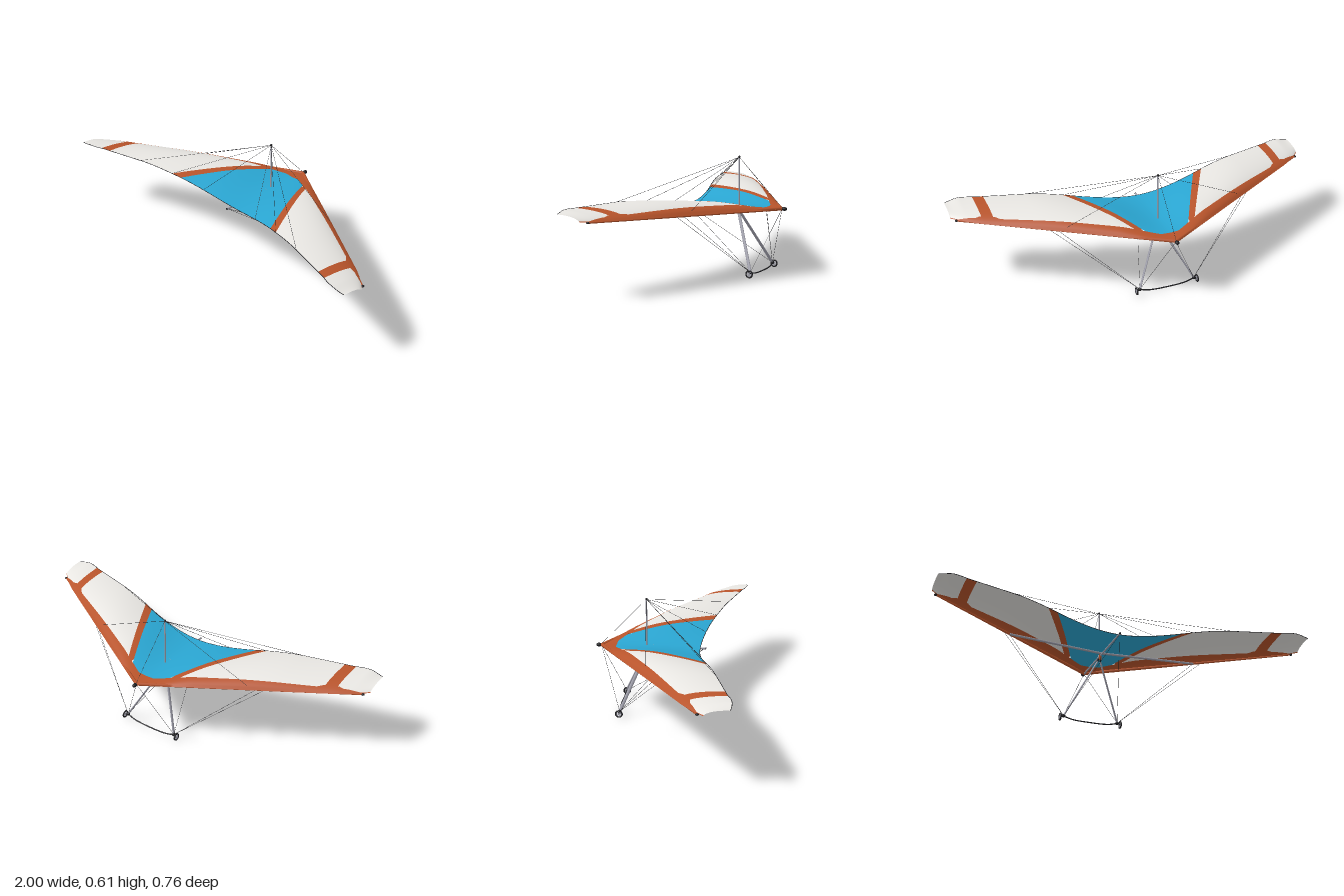
import * as THREE from 'three';

const paint = (name, color, double) => {
  const m = new THREE.MeshStandardMaterial({ color });
  m.name = name;
  if (double) m.side = THREE.DoubleSide;
  return m;
};
const V = (x, y, z) => new THREE.Vector3(x, y, z);
const smooth = THREE.MathUtils.smoothstep;

// Planform and height of the sail, symmetric in x
const lead = x => -0.36 + 0.586 * x + (x > 0.85 ? 0.028 * ((x - 0.85) / 0.15) ** 2 : 0);
const trail = x => {
  if (x < 0.4) return 0.17 + 0.39 * x * x;
  const d = Math.max(0, x - 0.85);
  return 0.232 + 0.273 * (x - 0.4) + 0.22 * d - 2.47 * d * d;
};
// Rear edge of the leading-edge band, with small fillets beside the tip stripe
const band = x => Math.max(-0.27, lead(x) + Math.max(0.002, 0.064 - 0.043 * x
  + 0.014 * smooth(x, 0.765, 0.8) - 0.014 * smooth(x, 0.855, 0.89) - 0.026 * smooth(x, 0.88, 1)));
const innerSeam = x => -0.19 + (x - 0.14) * 1.98;
const outerSeam = x => -0.18 + (x - 0.18) * 1.88;
const leadY = x => 0.34 + 0.03 * x;
const trailY = x => 0.345 + 0.069 * smooth(x, 0, 0.6) - 0.013 * smooth(x, 0.92, 1);

function height(px, z) {
  const x = Math.min(1, Math.abs(px));
  const t = THREE.MathUtils.clamp((z - lead(x)) / (trail(x) - lead(x)), 0, 1);
  const camber = 0.008 + 0.03 * smooth(x, 0, 0.25) - 0.026 * smooth(x, 0.4, 1);
  return leadY(x) + (trailY(x) - leadY(x)) * t + camber * 2.6 * Math.sqrt(t) * (1 - t);
}

// Sail panel between two seams over a span of x
function panel(x0, x1, zA, zB, cols, rows, curved) {
  const pos = [], nor = [], idx = [], e = 0.004;
  for (let i = 0; i <= cols; i++) {
    const x = x0 + (x1 - x0) * i / cols, a = Math.abs(x);
    const from = zA(a), to = Math.max(from, zB(a));
    for (let j = 0; j <= rows; j++) {
      const v = curved ? (j / rows) ** 2 : j / rows;
      const z = from + (to - from) * v;
      pos.push(x, height(x, z), z);
      const zn = THREE.MathUtils.clamp(z, lead(a) + 2 * e, trail(a) - e);
      const n = V(-(height(x + e, zn) - height(x - e, zn)) / (2 * e), 1,
        -(height(x, zn + e) - height(x, zn - e)) / (2 * e)).normalize();
      nor.push(n.x, n.y, n.z);
      if (i < cols && j < rows) {
        const p = i * (rows + 1) + j, q = p + rows + 1;
        idx.push(p, p + 1, q, q, p + 1, q + 1);
      }
    }
  }
  const g = new THREE.BufferGeometry();
  g.setAttribute('position', new THREE.Float32BufferAttribute(pos, 3));
  g.setAttribute('normal', new THREE.Float32BufferAttribute(nor, 3));
  g.setIndex(idx);
  return g;
}

export function createModel() {
  const root = new THREE.Group();
  root.name = 'hangGlider';
  const white = paint('white sailcloth', 0xeceae6, true);
  const rust = paint('rust sailcloth', 0xb8542b, true);
  const blue = paint('blue sailcloth', 0x2aa6d2, true);
  const metal = paint('grey metal', 0x9a9aa6);
  const black = paint('black', 0x1d1d20);

  const add = (name, geo, mat, parent = root) => {
    const m = new THREE.Mesh(geo, mat);
    m.name = name;
    parent.add(m);
    return m;
  };
  // Round bar between two points
  const bar = (name, a, b, r, mat, r2 = r, sides = 10) => {
    const d = b.clone().sub(a);
    const m = add(name, new THREE.CylinderGeometry(r2, r, d.length(), sides), mat);
    m.position.copy(a).add(b).multiplyScalar(0.5);
    m.quaternion.setFromUnitVectors(V(0, 1, 0), d.normalize());
    return m;
  };
  const cable = (name, a, b) => bar(name, a, b, 0.0008, black, 0.0008, 5);
  const onSail = (x, z) => V(x, height(x, z), z);

  // Sail panels, left and right
  for (const s of [1, -1]) {
    const side = s > 0 ? 'left' : 'right';
    const cloth = (name, a, b, zA, zB, cols, rows, mat, curved) =>
      add(side + name, s > 0 ? panel(a, b, zA, zB, cols, rows, curved)
        : panel(-b, -a, zA, zB, cols, rows, curved), mat);
    cloth('LeadingEdgeBand', 0, 1, lead, band, 200, 8, rust, true);
    cloth('CentrePanel', 0, 0.345, x => Math.max(band(x), innerSeam(x)), trail, 69, 20, blue);
    cloth('DiagonalStripe', 0.13, 0.4, x => Math.max(band(x), outerSeam(x)),
      x => Math.min(innerSeam(x), trail(x)), 54, 6, rust);
    cloth('WingPanel', 0.17, 0.8, band, x => Math.min(outerSeam(x), trail(x)), 126, 16, white);
    cloth('TipStripe', 0.8, 0.855, band, trail, 11, 16, rust);
    cloth('TipPanel', 0.855, 1, band, trail, 29, 16, white);

    // Leading-edge spar in its pocket, with end cap
    const nose = V(0, 0.342, -0.35), end = V(s * 0.975, 0.367, 0.224);
    bar(side + 'LeadingEdgePocket', nose, end, 0.009, rust, 0.004);
    const cap = add(side + 'SparCap', new THREE.SphereGeometry(0.0055, 12, 8), black);
    cap.position.copy(end);
    cap.scale.set(1.4, 1, 1.6);

    // Cross bar
    const joint = V(s * 0.52, 0.354, lead(0.52) + 0.012);
    bar(side + 'CrossBar', V(0, 0.344, -0.075), joint, 0.006, metal);

    // Control frame upright, streamlined section
    const foot = V(s * 0.152, 0.028, -0.24), head = V(s * 0.008, 0.312, -0.114);
    const upright = bar(side + 'Upright', foot, head, 0.004, metal);
    upright.geometry.scale(1, 1, 2.1);
    bar(side + 'UprightFitting', head, V(s * 0.004, 0.328, -0.109), 0.0045, black);
    const corner = add(side + 'CornerFitting', new THREE.SphereGeometry(0.01, 12, 8), black);
    corner.position.copy(foot);

    // Wheel
    const wheel = new THREE.Group();
    wheel.name = side + 'Wheel';
    wheel.position.set(s * 0.17, 0.021, -0.242);
    wheel.rotation.y = Math.PI / 2;
    root.add(wheel);
    add('tyre', new THREE.TorusGeometry(0.017, 0.004, 8, 28), black, wheel);
    add('rim', new THREE.TorusGeometry(0.0125, 0.0014, 6, 24), metal, wheel);
    const hub = add('hub', new THREE.CylinderGeometry(0.0035, 0.0035, 0.008, 12), metal, wheel);
    hub.rotation.x = Math.PI / 2;
    for (let i = 0; i < 3; i++) {
      const spoke = add('spoke', new THREE.BoxGeometry(0.026, 0.0025, 0.004), metal, wheel);
      spoke.rotation.z = i * Math.PI / 3;
    }
    bar(side + 'Axle', foot, V(s * 0.17, 0.021, -0.242), 0.003, black);

    // Rigging
    const mast = V(0, 0.598, -0.113);
    cable(side + 'UpperSideCable', mast, onSail(s * 0.48, lead(0.48) + 0.012));
    for (const x of [0.2, 0.4, 0.6]) cable(side + 'LuffLine', mast, onSail(s * x, trail(x)));
    cable(side + 'LowerSideCable', foot, joint);
    cable(side + 'LowerOuterCable', foot, V(s * 0.56, 0.357, lead(0.56) + 0.01));
    cable(side + 'LowerFrontCable', foot, V(0, 0.34, -0.352));
    cable(side + 'LowerRearCable', foot, V(0, 0.337, 0.19));
  }

  // Trailing-edge hem
  const hem = [];
  for (let i = -40; i <= 40; i++) {
    const x = i / 40 * 0.998;
    hem.push(onSail(x, trail(Math.abs(x))));
  }
  add('trailingEdgeHem', new THREE.TubeGeometry(new THREE.CatmullRomCurve3(hem), 120, 0.0016, 5), black);

  // Keel, king post and nose
  bar('keel', V(0, 0.339, -0.36), V(0, 0.339, 0.198), 0.005, metal);
  bar('keelEndCap', V(0, 0.339, 0.196), V(0, 0.339, 0.2), 0.0054, black);
  bar('kingPost', V(0, 0.339, -0.113), V(0, 0.595, -0.113), 0.004, metal);
  const top = add('kingPostCap', new THREE.SphereGeometry(0.006, 12, 8), black);
  top.position.set(0, 0.6, -0.113);
  const nose = add('noseCap', new THREE.SphereGeometry(0.01, 16, 10), black);
  nose.position.set(0, 0.342, -0.365);
  nose.scale.set(1.1, 1, 1.5);
  cable('upperFrontCable', V(0, 0.598, -0.113), V(0, 0.345, -0.355));

  // Curved base bar
  const base = new THREE.CatmullRomCurve3([V(-0.152, 0.026, -0.24), V(-0.1, 0.016, -0.246),
    V(0, 0.014, -0.25), V(0.1, 0.016, -0.246), V(0.152, 0.026, -0.24)]);
  add('baseBar', new THREE.TubeGeometry(base, 40, 0.0034, 8), black);

  // Hang loop and carabiner
  const loop = add('hangLoop', new THREE.BoxGeometry(0.012, 0.03, 0.006), rust);
  loop.position.set(0, 0.329, -0.09);
  const ring = add('carabiner', new THREE.TorusGeometry(0.007, 0.0014, 6, 20), black);
  ring.position.set(0, 0.319, -0.093);
  ring.rotation.y = Math.PI / 2;
  ring.scale.y = 1.4;
  return root;
}
